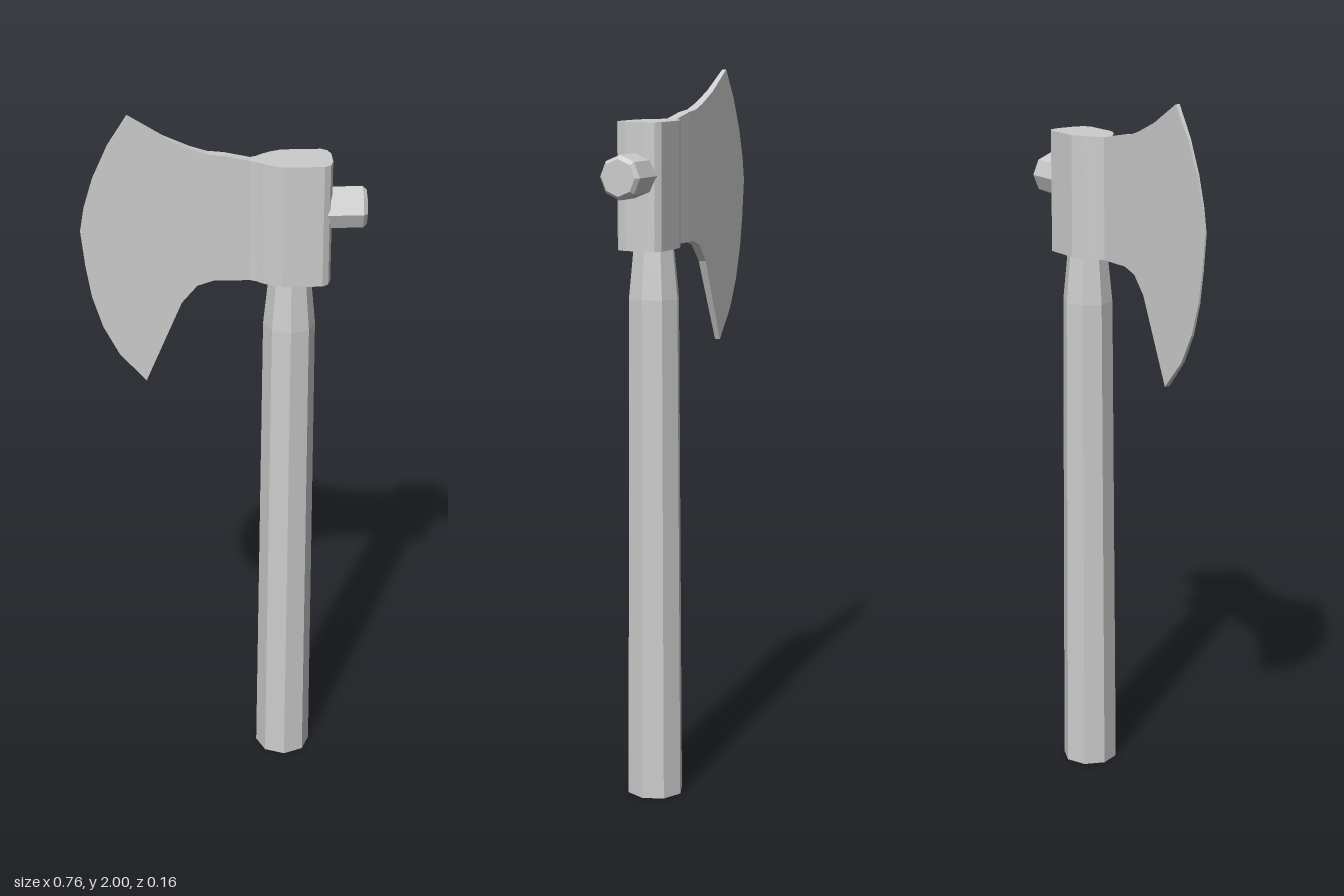
import * as THREE from 'three';

const steel = new THREE.MeshStandardMaterial({ color: 0xcccccc });
steel.name = 'pale grey';
steel.flatShading = true;

const shapeFrom = (points) => new THREE.Shape(points.map(([x, y]) => new THREE.Vector2(x, y)));

// Moves every vertex of a geometry by a rule
function reshape(geometry, rule) {
  const pos = geometry.attributes.position;
  const v = new THREE.Vector3();
  for (let i = 0; i < pos.count; i++) {
    rule(v.fromBufferAttribute(pos, i));
    pos.setXYZ(i, v.x, v.y, v.z);
  }
  geometry.computeVertexNormals();
  return geometry;
}

function part(name, geometry) {
  const mesh = new THREE.Mesh(geometry, steel);
  mesh.name = name;
  return mesh;
}

export function createModel() {
  const group = new THREE.Group();
  group.name = 'axe';
  const bottom = 1.535, top = 1.875, gripX = 0.178;

  // Octagonal handle, narrowing where it enters the head
  const handleProfile = [[0, 0], [0.079, 0], [0.071, 1.4], [0.057, 1.54], [0.05, 1.6], [0, 1.6]]
    .map(([r, y]) => new THREE.Vector2(r, y));
  const handle = part('handle', new THREE.LatheGeometry(handleProfile, 8));
  handle.position.x = gripX;
  group.add(handle);

  // Flared blade, thinning evenly towards the cutting edge
  const outline = shapeFrom([
    [0, 1.89], [-0.045, 1.895], [-0.09, 1.91], [-0.16, 1.942], [-0.252, 2],
    [-0.305, 1.918], [-0.346, 1.828], [-0.371, 1.745], [-0.382, 1.68],
    [-0.371, 1.58], [-0.356, 1.49], [-0.328, 1.4], [-0.285, 1.317], [-0.213, 1.235],
    [-0.114, 1.47], [-0.072, 1.52], [-0.028, 1.535], [0, 1.535],
  ]);
  const blade = new THREE.ExtrudeGeometry(outline, { depth: 1, bevelEnabled: false });
  group.add(part('blade', reshape(blade, (v) => {
    const half = THREE.MathUtils.mapLinear(v.x, -0.382, 0, 0.002, 0.015);
    v.z = (v.z - 0.5) * 2 * half;
  })));

  // Neck and eye, one mirrored plan raised along y
  const side = [
    [0, 0.015], [0.07, 0.015], [0.086, 0.023], [0.102, 0.038], [0.125, 0.053],
    [0.155, 0.066], [0.26, 0.066], [0.277, 0.054], [0.285, 0.028],
  ];
  const plan = [...side, ...side.map(([x, z]) => [x, -z]).reverse()];
  const eye = new THREE.ExtrudeGeometry(shapeFrom(plan), { depth: top - bottom, bevelEnabled: false });
  eye.rotateX(-Math.PI / 2).translate(0, bottom, 0);
  group.add(part('eye', reshape(eye, (v) => {
    if (v.x < 0.01 && v.y > 1.8) v.y = 1.89;
  })));

  // Octagonal hammer stud with a chamfered end
  const studProfile = [[0, 0.25], [0.059, 0.25], [0.059, 0.367], [0.049, 0.378], [0, 0.378]]
    .map(([r, y]) => new THREE.Vector2(r, y));
  const stud = part('hammerStud', new THREE.LatheGeometry(studProfile, 8));
  stud.rotation.z = -Math.PI / 2;
  stud.position.y = 1.735;
  group.add(stud);

  return group;
}
